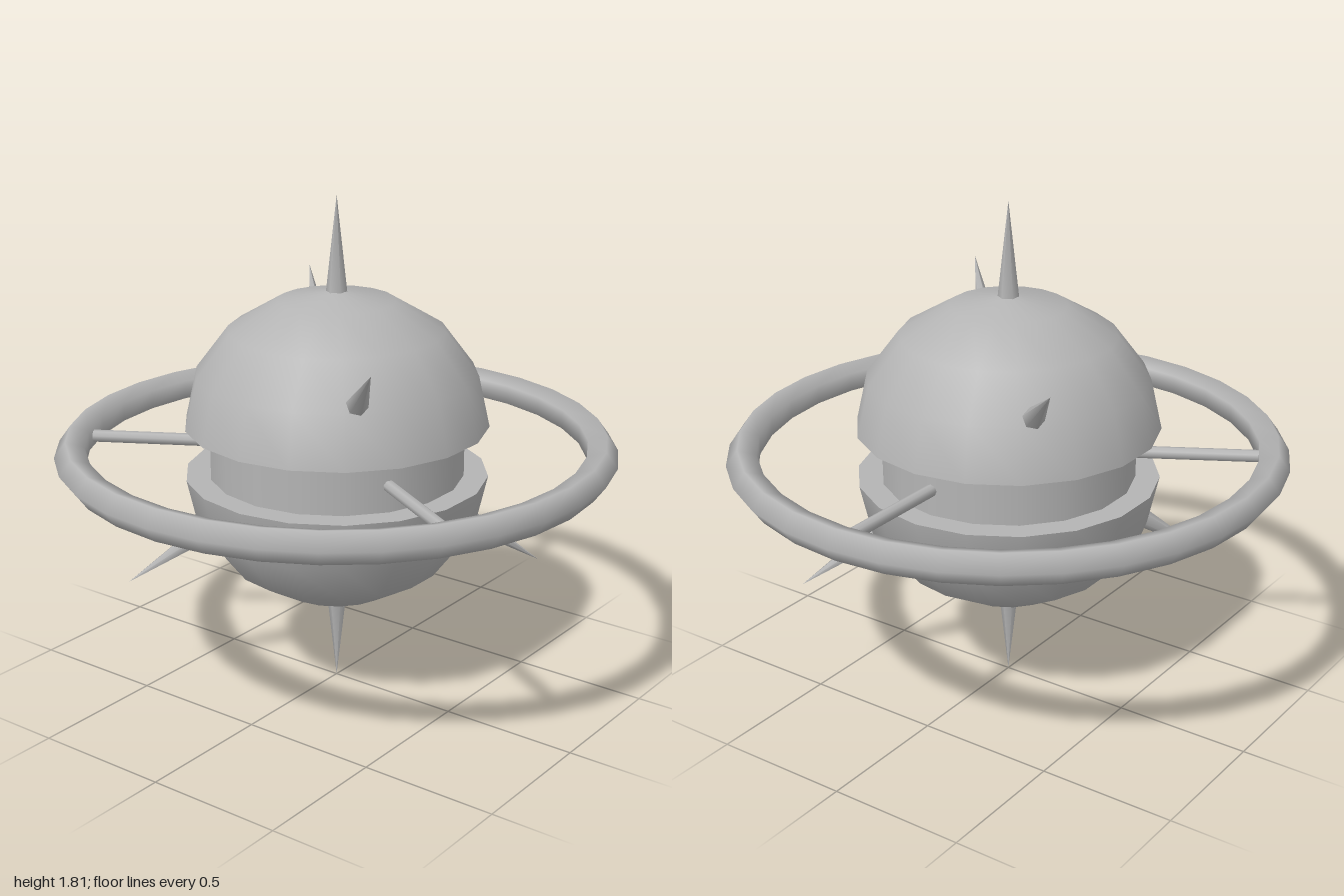
import * as THREE from 'three';

const MID = 0.905; // height of the ring plane
const SIDES = 18;

export function createModel() {
  const model = new THREE.Group();
  const grey = new THREE.MeshStandardMaterial({ color: 0xb4b4b4 });
  grey.name = 'grey';

  const add = (name, geometry, parent = model) => {
    const mesh = new THREE.Mesh(geometry, grey);
    mesh.name = name;
    parent.add(mesh);
    return mesh;
  };

  // Tapered rod between two points
  const rod = (name, from, to, r0, r1, sides) => {
    const dir = to.clone().sub(from);
    const mesh = add(name, new THREE.CylinderGeometry(r1, r0, dir.length(), sides));
    mesh.position.copy(from).add(to).multiplyScalar(0.5);
    mesh.quaternion.setFromUnitVectors(new THREE.Vector3(0, 1, 0), dir.normalize());
  };

  // Flattened half shells with flat rims, separated by a gap
  const profile = [];
  for (let i = 0; i <= 4; i++) {
    const a = (i / 4) * Math.PI / 2;
    profile.push(new THREE.Vector2(i === 4 ? 0 : 0.543 * Math.cos(a), 0.48 * Math.sin(a)));
  }
  for (const s of [1, -1]) {
    const half = new THREE.Group();
    half.name = s > 0 ? 'upperShell' : 'lowerShell';
    half.position.y = MID + s * 0.093;
    if (s < 0) half.rotation.x = Math.PI;
    add('dome', new THREE.LatheGeometry(profile, SIDES), half);
    const rim = add('rim', new THREE.CircleGeometry(0.543, SIDES, Math.PI / 2), half);
    rim.rotation.x = Math.PI / 2;
    model.add(half);
  }

  // Inner core showing in the gap
  add('core', new THREE.CylinderGeometry(0.456, 0.456, 0.19, SIDES)).position.y = MID;

  // Outer ring
  const ring = add('ring', new THREE.TorusGeometry(0.94, 0.06, 5, 32));
  ring.rotation.x = Math.PI / 2;
  ring.position.y = MID;

  // Three struts joining core and ring
  for (let i = 0; i < 3; i++) {
    const a = Math.PI + (i * Math.PI * 2) / 3;
    const at = (r) => new THREE.Vector3(Math.sin(a) * r, MID, Math.cos(a) * r);
    rod('strut', at(0.42), at(0.92), 0.022, 0.022, 8);
  }

  // Spikes: top, bottom and four diagonals
  const spike = (x, y, z, x1, y1, z1) =>
    rod('spike', new THREE.Vector3(x, MID + y, z), new THREE.Vector3(x1, MID + y1, z1), 0.038, 0, 6);
  for (const s of [1, -1]) {
    spike(0, s * 0.56, 0, 0, s * 0.905, 0);
    for (const t of [1, -1]) {
      spike(t * 0.34, s * 0.305, s * t * 0.34, t * 0.535, s * 0.485, s * t * 0.535);
    }
  }
  return model;
}
